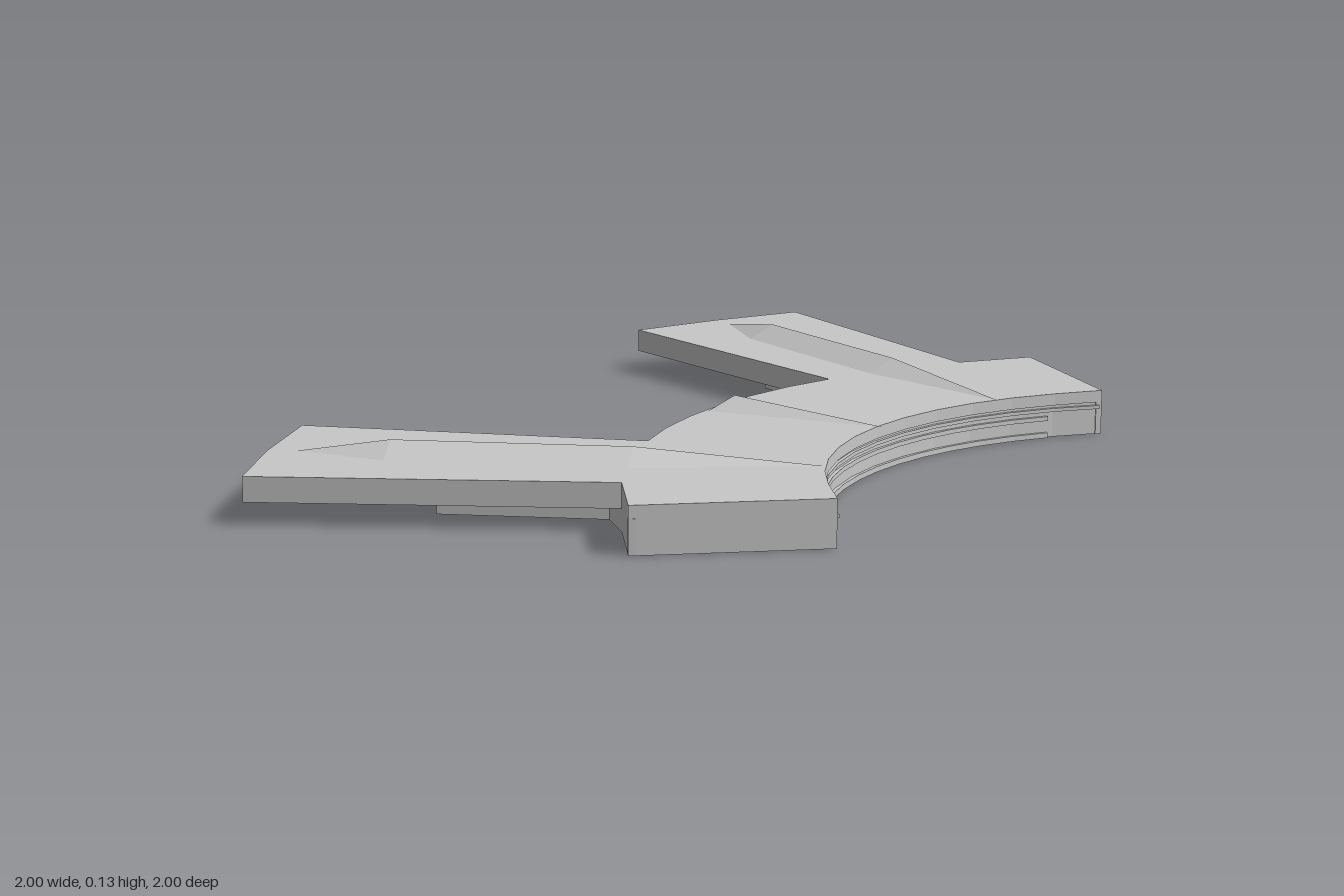
import * as THREE from 'three';

const steel = new THREE.MeshStandardMaterial({ color: 0xc8c8c8 });
steel.name = 'grey';

// Plan points are [x, z]; the curved body is centred on (1, 1).
// Angle is measured from -z towards -x, so 45 degrees is the line of symmetry.
const polar = (r, deg) => {
  const a = THREE.MathUtils.degToRad(deg);
  return [1 - r * Math.sin(a), 1 - r * Math.cos(a)];
};
const arc = (r, from, to, n) =>
  Array.from({ length: n + 1 }, (_, i) => polar(r, from + ((to - from) * i) / n));
const swap = ([x, z]) => [z, x];
const mirrored = (pts) => pts.map(swap).reverse();

function plate(name, pts, y0, y1) {
  const shape = new THREE.Shape(pts.map(([x, z]) => new THREE.Vector2(x, -z)));
  const geo = new THREE.ExtrudeGeometry(shape, { depth: y1 - y0, bevelEnabled: false });
  geo.rotateX(-Math.PI / 2).translate(0, y0, 0);
  const mesh = new THREE.Mesh(geo, steel);
  mesh.name = name;
  return mesh;
}

// Annular strip between two radii
const band = (name, r0, r1, a0, a1, y0, y1, n) =>
  plate(name, [...arc(r0, a0, a1, n), ...arc(r1, a1, a0, n)], y0, y1);

// Straight thin wall, thickened to one side of the run from a to b
function wall(name, a, b, t, y0, y1) {
  const dx = b[0] - a[0], dz = b[1] - a[1], l = Math.hypot(dx, dz);
  const ox = (-dz / l) * t, oz = (dx / l) * t;
  return plate(name, [a, b, [b[0] + ox, b[1] + oz], [a[0] + ox, a[1] + oz]], y0, y1);
}

// Faceted surface whose triangles are all turned to face upwards
function facets(name, tris) {
  const pos = [];
  for (const [a, b, c] of tris) {
    const up = (b[2] - a[2]) * (c[0] - a[0]) - (b[0] - a[0]) * (c[2] - a[2]);
    pos.push(...a, ...(up >= 0 ? [...b, ...c] : [...c, ...b]));
  }
  const geo = new THREE.BufferGeometry();
  geo.setAttribute('position', new THREE.Float32BufferAttribute(pos, 3));
  geo.computeVertexNormals();
  const mesh = new THREE.Mesh(geo, steel);
  mesh.name = name;
  return mesh;
}

export function createModel() {
  const group = new THREE.Group();
  group.name = 'curvedBracket';
  const TOP = 0.102, ROOF = 0.075, MID = 0.048, PEAK = 0.132;
  const R_IN = 0.866, R_OUT = 1.272, BLADE = 19.6;

  // Top plate: curved body, two end blocks and two blades
  const blade = [[0.78, -0.26], [0.565, -1], [0.34, -0.93], [0.11, -0.835], [0.42, -0.13]];
  const half = [[1, 0.128], [0.968, -0.285], ...blade];
  const outer = arc(R_OUT, 27, 63, 6).slice(1, -1);
  const inner = arc(R_IN, 89.5, 0.5, 12).slice(1, -1);
  group.add(plate('topPlate', [...half, ...outer, ...mirrored(half), ...inner], ROOF, TOP));

  // Lower layer of each blade
  group.add(plate('rightBladeBase', blade, MID, ROOF));
  group.add(plate('leftBladeBase', mirrored(blade), MID, ROOF));

  // Raised central rib on top
  const tip = [0.395, TOP, 0.395], crest = [0.13, 0.13, 0.13];
  const footA = [0.155, TOP, 0.063], footB = [0.063, TOP, 0.155];
  group.add(facets('centreRib', [[tip, footA, crest], [tip, crest, footB], [footA, footB, crest]]));

  // Ridge along each blade: a spine with sloping sides
  const a = THREE.MathUtils.degToRad(BLADE);
  const bladePoint = (r, off) => {
    const [x, z] = polar(r, BLADE);
    return [x + Math.cos(a) * (off + 0.02), z - Math.sin(a) * (off + 0.02)];
  };
  const ridgePoint = (r, off, y) => {
    const [x, z] = bladePoint(r, off);
    return [x, y, z];
  };
  const root = ridgePoint(R_IN, 0, TOP), end = ridgePoint(1.977, 0, TOP);
  const p = ridgePoint(1.265, 0, PEAK), q = ridgePoint(1.777, 0, PEAK);
  const ridge = [];
  for (const s of [-0.067, 0.067]) {
    const bp = ridgePoint(1.265, s, TOP), bq = ridgePoint(1.777, s, TOP);
    ridge.push([root, p, bp], [p, q, bq], [p, bq, bp], [q, end, bq]);
  }
  const flip = ([x, y, z]) => [z, y, x];
  group.add(facets('rightRidge', ridge));
  group.add(facets('leftRidge', ridge.map((t) => t.map(flip))));

  // Hollow skirt round the end block and the channel under the blade
  const rim = [...half.slice(0, 3), bladePoint(1.3, 0.1), bladePoint(1.66, 0.1),
    bladePoint(1.66, -0.1), bladePoint(R_OUT, -0.1)];
  for (let i = 0; i < rim.length - 1; i++) {
    const height = i < 2 ? ROOF : MID;
    group.add(wall('rightSkirt', rim[i], rim[i + 1], -0.014, 0, height));
    group.add(wall('leftSkirt', swap(rim[i]), swap(rim[i + 1]), 0.014, 0, height));
  }
  group.add(band('outerSkirt', R_OUT, R_OUT - 0.014, 24, 66, 0, ROOF, 8));

  // Radial stiffeners under the body
  for (const angle of [35, 55]) {
    group.add(wall('stiffener', polar(R_IN + 0.02, angle), polar(R_OUT - 0.01, angle), 0.012, 0, ROOF));
  }

  // Stepped lips along the inner curve
  group.add(band('innerSkirt', R_IN + 0.008, R_IN + 0.024, 0.5, 89.5, 0, ROOF, 12));
  for (const [y0, y1, margin] of [[0, 0.012, 9], [0.04, 0.05, 9], [0.06, 0.068, 0.5]]) {
    group.add(band('innerLip', R_IN, R_IN + 0.016, margin, 90 - margin, y0, y1, 12));
  }
  return group;
}
